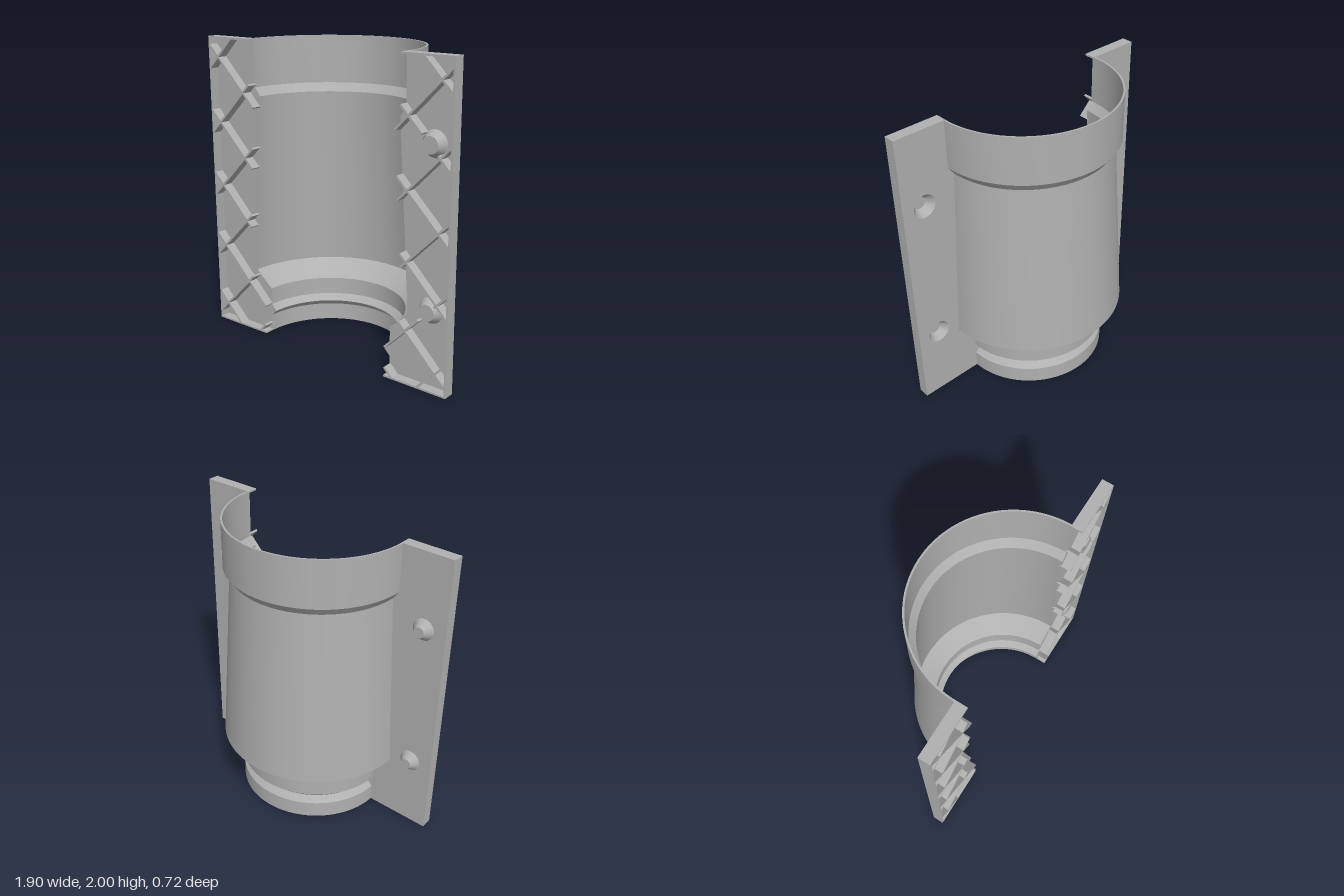
import * as THREE from 'three';
import { toCreasedNormals } from 'three/addons/utils/BufferGeometryUtils.js';

const T = 0.012;          // wall thickness
const BACK = 0.284;       // z of the parting plane
const FRONT = 0.36;       // z of the open side of the flanges
const EDGE = 0.95;        // half width of the flanges
const HEIGHT = 2;
const PIN_X = 0.795;
const PIN_Y = [0.5, 1.5];

// inner profile of the half shell: [radius, height]
const PROFILE = [
  [0.5, 0], [0.5, 0.115], [0.46, 0.155], [0.5, 0.195], [0.5, 0.31],
  [0.63, 0.42], [0.555, 1.63], [0.595, 1.685], [0.595, HEIGHT],
];

function radiusAt(y) {
  for (let i = 1; i < PROFILE.length; i++) {
    const [r0, y0] = PROFILE[i - 1], [r1, y1] = PROFILE[i];
    if (y <= y1) return r0 + (r1 - r0) * (y - y0) / (y1 - y0);
  }
  return PROFILE[PROFILE.length - 1][0];
}

function closedLathe(points, segments, start, length) {
  const pts = [...points, points[0]].map(([r, y]) => new THREE.Vector2(r, y));
  return toCreasedNormals(new THREE.LatheGeometry(pts, segments, start, length), 0.35);
}

export function createModel() {
  const model = new THREE.Group();
  const grey = new THREE.MeshStandardMaterial({ color: 0xb0b0b0 });
  grey.name = 'grey plastic';

  const add = (name, geometry, x, y, z, parent = model) => {
    const mesh = new THREE.Mesh(geometry, grey);
    mesh.name = name;
    mesh.position.set(x, y, z);
    parent.add(mesh);
    return mesh;
  };

  // thin half-round shell
  const outer = PROFILE.map(([r, y]) => [r + T, y]);
  const wall = [...outer, ...[...PROFILE].reverse()];
  add('halfShell', closedLathe(wall, 64, Math.PI / 2, Math.PI), 0, 0, BACK);

  const depth = FRONT - BACK, midZ = (FRONT + BACK) / 2;

  for (const s of [1, -1]) {
    const flange = new THREE.Group();
    flange.name = s > 0 ? 'leftFlange' : 'rightFlange';
    model.add(flange);

    // back plate whose inner edge follows the shell
    const shape = new THREE.Shape([
      ...PROFILE.map(([r, y]) => new THREE.Vector2(s * r, y)),
      new THREE.Vector2(s * EDGE, HEIGHT), new THREE.Vector2(s * EDGE, 0),
    ]);
    if (s > 0) {
      for (const y of PIN_Y) {
        const hole = new THREE.Path();
        hole.absarc(PIN_X, y, 0.082, 0, Math.PI * 2, true);
        shape.holes.push(hole);
      }
    }
    const plate = new THREE.ExtrudeGeometry(shape, { depth: T, bevelEnabled: false, curveSegments: 32 });
    add('flangePlate', plate, 0, 0, BACK, flange);

    // rim along the outer, top and bottom edges
    add('outerRim', new THREE.BoxGeometry(T, HEIGHT, depth), s * (EDGE - T / 2), HEIGHT / 2, midZ, flange);
    for (const [name, y, r] of [['bottomRim', T / 2, 0.5], ['topRim', HEIGHT - T / 2, 0.595]]) {
      add(name, new THREE.BoxGeometry(EDGE - r, T, depth), s * (EDGE + r) / 2, y, midZ, flange);
    }

    // diagonal stiffening ribs, clipped to the flange and around the sockets
    const inside = (x, y) => y > 0.005 && y < HEIGHT - 0.005 && x > radiusAt(y) &&
      !(s > 0 && PIN_Y.some((py) => Math.hypot(x - PIN_X, y - py) < 0.078));
    const pitch = 0.434, step = 0.002;
    for (const slope of [1, -1]) {
      for (let k = -5; k <= 5; k++) {
        const yAt = (x) => 1 + k * pitch + slope * x;
        let from = null;
        for (let x = 0.45; x <= EDGE; x += step) {
          const on = x < EDGE - T / 2 && inside(x, yAt(x));
          if (on && from === null) from = x;
          if (!on && from !== null) {
            const mid = (from + x) / 2;
            const length = (x - from) * Math.SQRT2;
            if (length > 0.01) {
              const rib = add('rib', new THREE.BoxGeometry(length, 0.014, depth), s * mid, yAt(mid), midZ, flange);
              rib.rotation.z = s * slope * Math.PI / 4;
            }
            from = null;
          }
        }
      }
    }

    // alignment sockets on one flange, matching pins on the other
    for (const y of PIN_Y) {
      if (s > 0) {
        const cup = closedLathe([
          [0.088, 0], [0.052, 0.064], [0, 0.064], [0, 0.052], [0.04, 0.052], [0.078, 0],
        ], 32, 0, Math.PI * 2);
        cup.rotateX(Math.PI / 2);
        add('alignmentSocket', cup, PIN_X, y, BACK, flange);
      } else {
        const pin = new THREE.CylinderGeometry(0.073, 0.035, 0.05, 32);
        pin.rotateX(Math.PI / 2);
        add('alignmentPin', pin, -PIN_X, y, BACK - 0.025, flange);
      }
    }
  }
  return model;
}
